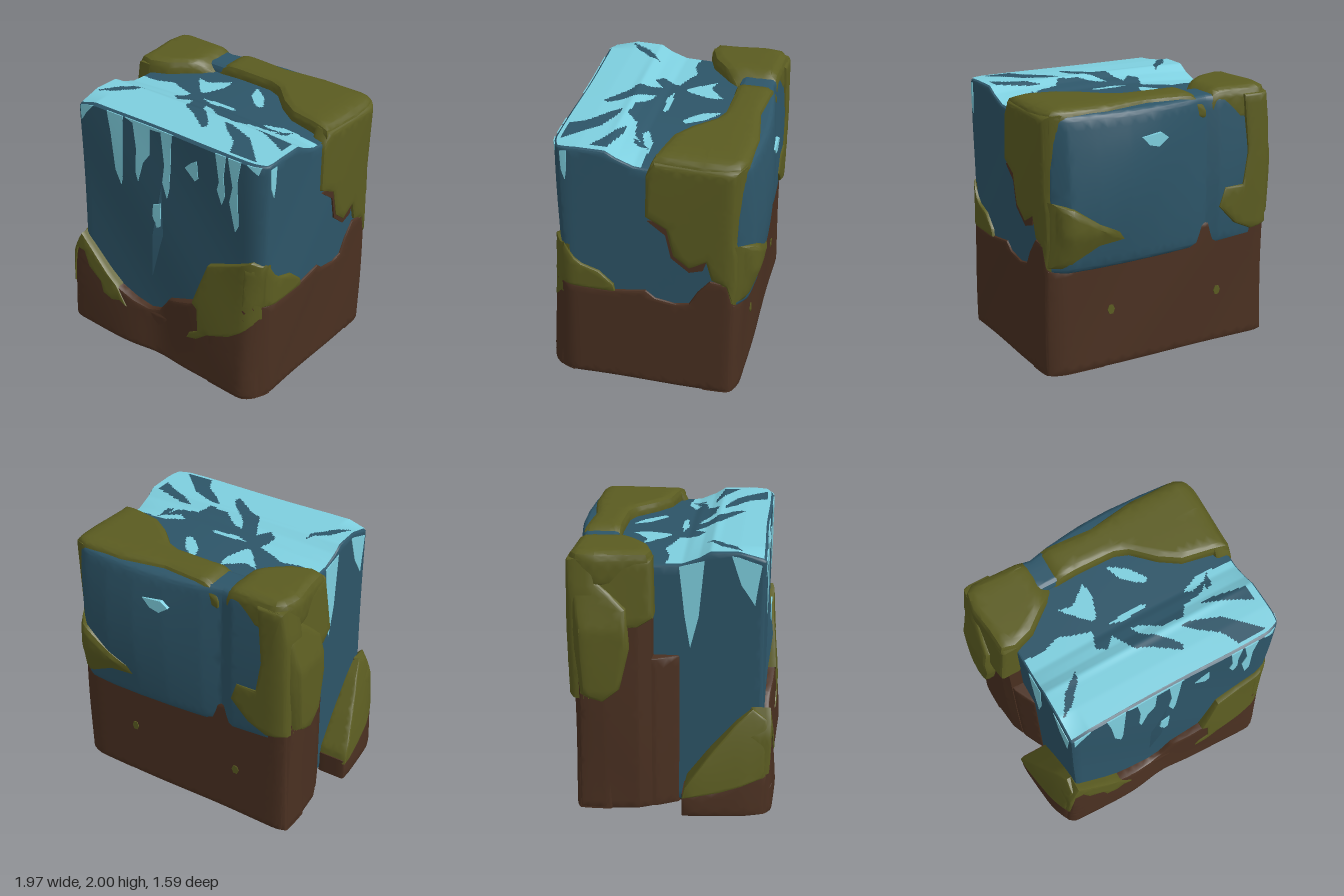
import * as THREE from 'three';
import { toCreasedNormals } from 'three/addons/utils/BufferGeometryUtils.js';

const flat = (name, color) => Object.assign(new THREE.MeshStandardMaterial({ color }), { name });
const unit = t => Math.min(1, Math.max(0, t));

// Rounds the block's corners and adds gentle lumps
function soften(v) {
  const { x, y, z } = v;
  const ex = unit((Math.abs(x) - 0.8) / 0.17), ez = unit((Math.abs(z) - 0.55) / 0.22);
  v.z -= Math.sign(z) * 0.095 * ex * ex * ez + 0.008 * ez * Math.sin(5 * x + 4 * y);
  v.x -= Math.sign(x) * 0.045 * ez * ez * ex + 0.006 * ex * Math.sin(5 * z + 4 * y);
  const high = unit((y - 1.7) / 0.3);
  v.y -= high * 0.035 * Math.max(ex * ex, ez * ez) * unit((0.2 - z) / 0.3);
  v.y -= high * 0.05 * unit((-x - 0.6) / 0.15) * unit((z - 0.5) / 0.19);
}

// Splits triangles until every edge is short enough to bend smoothly
function subdivide(geo, limit) {
  const p = geo.attributes.position, out = [], todo = [];
  for (let i = 0; i < p.count; i += 3)
    todo.push([0, 1, 2].map(k => new THREE.Vector3().fromBufferAttribute(p, i + k)));
  while (todo.length) {
    const t = todo.pop();
    const len = t.map((a, k) => a.distanceTo(t[(k + 1) % 3]));
    const k = len.indexOf(Math.max(...len));
    if (len[k] <= limit) { t.forEach(v => out.push(v.x, v.y, v.z)); continue; }
    const a = t[k], b = t[(k + 1) % 3], c = t[(k + 2) % 3], m = a.clone().add(b).multiplyScalar(0.5);
    todo.push([a, m, c], [m, b, c]);
  }
  return new THREE.BufferGeometry().setAttribute('position', new THREE.Float32BufferAttribute(out, 3));
}

export function createModel() {
  const group = new THREE.Group();
  const dirt = flat('earth brown', 0x4a3021);
  const moss = flat('moss green', 0x5b5c21);
  const water = flat('deep water blue', 0x2d5568);
  const foam = flat('foam cyan', 0x7ecfdf);

  function add(name, mat, geo, warp) {
    const p = geo.attributes.position, v = new THREE.Vector3();
    for (let i = 0; i < p.count; i++) {
      v.fromBufferAttribute(p, i);
      if (warp) warp(v);
      soften(v);
      p.setXYZ(i, v.x, v.y, v.z);
    }
    const mesh = new THREE.Mesh(toCreasedNormals(geo, 0.7), mat);
    mesh.name = name;
    group.add(mesh);
  }

  // Extrudes an outline along an axis; outline is (x,y) for z, (z,y) for x, (x,z) for y
  function slab(name, mat, axis, from, to, pts, bevel = 0, warp) {
    const shape = new THREE.Shape(pts.map(([a, b]) =>
      new THREE.Vector2(axis === 'x' ? -a : a, axis === 'y' ? -b : b)));
    const geo = new THREE.ExtrudeGeometry(shape, {
      depth: to - from - 2 * bevel, bevelEnabled: bevel > 0, bevelSize: bevel,
      bevelThickness: bevel, bevelOffset: -bevel, bevelSegments: 2,
    });
    geo.translate(0, 0, from + bevel);
    if (axis === 'x') geo.rotateY(Math.PI / 2);
    if (axis === 'y') geo.rotateX(-Math.PI / 2);
    add(name, mat, subdivide(geo, 0.085), warp);
  }

  // Water block: a profile with a lip at the front and a lower pool behind
  const top = [[0.672, 1.978], [0.5, 1.985], [0.3, 1.98], [0.22, 1.93], [0.1, 1.885], [-0.6, 1.86]];
  slab('waterBlock', water, 'x', -0.755, 0.95,
    [[-0.6, 0.02], [0.69, 0.02], [0.69, 1.965], ...top], 0.02);
  slab('backWater', water, 'y', 0.8, 1.96, [[-0.86, -0.4], [-0.86, -0.66], [-0.75, -0.7], [-0.45, -0.71],
    [-0.35, -0.68], [-0.2, -0.72], [0.1, -0.765], [0.35, -0.785], [0.6, -0.78], [0.83, -0.75],
    [0.945, -0.7], [0.945, -0.4]], 0.04,
    v => { if (v.z < -0.6) v.z = -0.6 + (v.z + 0.6) * (1 - 0.8 * (v.y - 1.4) ** 2); });
  add('waterFold', water, new THREE.OctahedronGeometry(1).scale(0.075, 0.49, 0.045)
    .rotateZ(-0.14).translate(-0.03, 1.1, 0.685));

  // Pool surface: a fine grid whose cells are foam or open water
  const inside = (x, z, poly) => {
    let hit = false;
    poly.forEach(([ax, az], i) => {
      const [bx, bz] = poly[(i + 1) % poly.length];
      if ((az > z) !== (bz > z) && x < (bx - ax) * (z - az) / (bz - az) + ax) hit = !hit;
    });
    return hit;
  };
  const foamAreas = [
    [[-0.75, -0.02], [-0.6, 0], [-0.45, -0.05], [-0.35, 0], [-0.22, 0.04], [-0.27, 0.18], [-0.2, 0.22],
      [-0.12, 0.14], [-0.04, 0.32], [0.06, 0.36], [0.25, 0.5], [0.27, 0.46], [0.2, 0.36], [0.06, 0.24],
      [0.02, 0.16], [0.1, 0.18], [0.22, 0.27], [0.38, 0.28], [0.44, 0.2], [0.6, 0.17], [0.7, 0.08],
      [0.55, 0.13], [0.49, 0.1], [0.64, 0.03], [0.94, 0.05], [0.94, 0.68], [-0.75, 0.68]],
    [[-0.36, -0.23], [-0.25, -0.2], [-0.1, -0.32], [-0.09, -0.2], [-0.14, -0.05], [-0.18, -0.02], [-0.25, -0.1]],
    [[0.1, -0.36], [0.25, -0.25], [0.33, -0.12], [0.28, -0.1], [0.15, -0.22]],
    [[-0.1, 0.05], [0.05, 0.03], [0.21, 0.04], [0.2, 0.07], [0, 0.08]],
  ];
  const openStreaks = [
    [[-0.72, 0.53], [-0.62, 0.37], [-0.48, 0.26], [-0.5, 0.33], [-0.62, 0.47]],
    [[0.33, 0.33], [0.42, 0.34], [0.62, 0.42], [0.7, 0.5], [0.83, 0.64], [0.62, 0.65], [0.55, 0.52], [0.42, 0.42]],
    [[0.52, 0.24], [0.66, 0.25], [0.88, 0.3], [0.88, 0.42], [0.76, 0.35]],
    [[0.66, 0.11], [0.72, 0.04], [0.7, 0.15], [0.64, 0.17]],
  ];
  const topY = (x, z) => {
    const i = Math.max(1, top.findIndex(p => p[0] <= z));
    const [[az, ay], [bz, by]] = [top[i - 1], top[i]];
    const swell = 0.035 * (1 - ((x - 0.1) / 0.84) ** 2) * unit((0.35 - z) / 0.2);
    return ay + (by - ay) * (z - az) / (bz - az) + 0.006 + swell;
  };
  const cells = [[], []], s = 0.0125;
  for (let i = 0; i < 134; i++) for (let j = 0; j < 90; j++) {
    const x = -0.74 + i * s, z = -0.455 + j * s, X = x + s, Z = z + s, cx = x + s / 2, cz = z + s / 2;
    const wet = foamAreas.some(p => inside(cx, cz, p)) && !openStreaks.some(p => inside(cx, cz, p));
    const a = [x, topY(x, z), z], b = [x, topY(x, Z), Z], c = [X, topY(X, Z), Z], d = [X, topY(X, z), z];
    cells[wet ? 1 : 0].push(...a, ...b, ...d, ...d, ...b, ...c);
  }
  cells.forEach((c, k) => add(k ? 'poolFoam' : 'poolWater', k ? foam : water,
    new THREE.BufferGeometry().setAttribute('position', new THREE.Float32BufferAttribute(c, 3))));

  // Foam drips on the front, sides and back
  [
    [[-0.73, 1.97], [-0.73, 1.83], [-0.68, 1.9], [-0.6, 1.97]],
    [[-0.47, 1.97], [-0.44, 1.8], [-0.41, 1.5], [-0.36, 1.39], [-0.345, 1.45], [-0.33, 1.8], [-0.32, 1.97]],
    [[-0.23, 1.97], [-0.2, 1.75], [-0.21, 1.55], [-0.19, 1.48], [-0.14, 1.65], [-0.08, 1.73], [-0.07, 1.97]],
    [[0.03, 1.97], [0.06, 1.7], [0.04, 1.55], [0.08, 1.43], [0.1, 1.5], [0.12, 1.75], [0.13, 1.97]],
    [[0.25, 1.75], [0.3, 1.8], [0.36, 1.84], [0.37, 1.7], [0.34, 1.67]],
    [[0.53, 1.97], [0.56, 1.75], [0.54, 1.68], [0.58, 1.57], [0.61, 1.65], [0.6, 1.8], [0.62, 1.97]],
    [[0.64, 1.97], [0.68, 1.75], [0.65, 1.62], [0.7, 1.39], [0.73, 1.45], [0.72, 1.8], [0.75, 1.97]],
    [[0.8, 1.97], [0.89, 1.91], [0.91, 1.97]],
    [[-0.3, 1.97], [-0.2, 1.94], [0, 1.95], [0.15, 1.97]],
  ].forEach(p => slab('frontDrip', foam, 'z', 0.687, 0.695, p));
  slab('foldFoam', foam, 'z', 0.708, 0.717,
    [[-0.04, 1.25], [-0.03, 1.35], [0.04, 1.38], [0.03, 1.18], [0, 1.16]]);
  slab('rightDrip', foam, 'x', 0.946, 0.955, [[0.66, 1.95], [0.65, 1.8], [0.61, 1.72], [0.59, 1.8], [0.58, 1.96]]);
  slab('leftDrip', foam, 'x', -0.759, -0.751, [[0.26, 1.92], [0.22, 1.5], [0.16, 1.26], [0.12, 1.5], [0.08, 1.87]]);
  slab('leftDrip', foam, 'x', -0.759, -0.751, [[0.66, 1.93], [0.62, 1.6], [0.52, 1.75], [0.45, 1.96]]);
  slab('backFoam', foam, 'z', -0.77, -0.74, [[0.04, 1.72], [0.1, 1.77], [0.26, 1.75], [0.2, 1.68], [0.12, 1.66]]);

  // Earth: base, right bank, back bank and the post at the back left
  slab('earthBase', dirt, 'y', 0.003, 0.38, [[-0.745, 0.74], [-0.745, -0.63], [-0.7, -0.67], [0.92, -0.67],
    [0.965, -0.62], [0.965, 0.7], [0.92, 0.74]], 0.02);
  slab('rightBank', dirt, 'x', 0.5, 0.968, [[0.78, 0.003], [0.745, 0.83], [0.25, 0.83], [0.02, 0.86], [-0.05, 0.8],
    [-0.2, 0.77], [-0.3, 0.79], [-0.36, 0.9], [-0.45, 1.01], [-0.6, 1], [-0.67, 0.82], [-0.67, 0.003]], 0.02);
  slab('backBank', dirt, 'z', -0.675, -0.4, [[0.965, 0.003], [0.965, 0.82], [0.4, 0.88], [0.1, 0.92], [-0.2, 0.95],
    [-0.4, 1], [-0.6, 0.95], [-0.9, 0.95], [-0.92, 0.003]], 0.015);
  slab('leftPost', dirt, 'y', 0.003, 1.55, [[-0.7, -0.1], [-0.85, -0.11], [-0.89, -0.2], [-0.92, -0.45], [-0.92, -0.65],
    [-0.89, -0.675], [-0.7, -0.675]], 0.015);
  slab('gapEarth', dirt, 'y', 0.003, 1.2, [[-0.7, -0.15], [-0.7, 0.11], [-0.76, 0.08], [-0.84, -0.08], [-0.85, -0.15]], 0.01);
  slab('bankEdge', dirt, 'x', 0.93, 0.962, [[0, 1.47], [-0.13, 1.37], [-0.17, 1.18], [-0.3, 1.07], [-0.4, 1.1],
    [-0.45, 1.25], [-0.2, 1.5]]);

  // Front bank with a scooped rim, leaning slightly back
  const leanFront = v => { v.z -= 0.3 * v.y * Math.max(0, v.z - 0.6) + 0.03 * Math.exp(-((v.x / 0.2) ** 2)); };
  const rimLeft = [[-0.76, 0.81], [-0.65, 0.7], [-0.5, 0.55], [-0.4, 0.47]];
  const rimRight = [[0.35, 0.65], [0.42, 0.85], [0.48, 1.02], [0.7, 1.11], [0.87, 1.19], [0.95, 1.16]];
  slab('frontBank', dirt, 'z', 0.6, 0.785, [[-0.91, 0.003], [-0.89, 0.2], [-0.83, 0.6], ...rimLeft, [-0.25, 0.41],
    [-0.1, 0.38], [0, 0.41], [0.1, 0.55], ...rimRight, [0.965, 0.7], [0.965, 0.003]], 0.02, leanFront);
  slab('frontMossLeft', moss, 'z', 0.61, 0.795, [...rimLeft.map(([x, y]) => [x, y + 0.008]), [-0.3, 0.33], [-0.37, 0.36],
    [-0.44, 0.34], [-0.53, 0.37], [-0.56, 0.46], [-0.68, 0.55], [-0.73, 0.67], [-0.8, 0.68], [-0.85, 0.5],
    [-0.88, 0.33], [-0.9, 0.33], [-0.86, 0.62]], 0.006, leanFront);
  slab('frontMossRight', moss, 'z', 0.6, 0.795, [...rimRight.map(([x, y]) => [x, y + 0.008]), [0.962, 0.72],
    [0.85, 0.62], [0.7, 0.51], [0.5, 0.43], [0.4, 0.35], [0.3, 0.32], [0.33, 0.38], [0.41, 0.43], [0.4, 0.62]], 0.01, leanFront);
  slab('rightMossFront', moss, 'x', 0.8, 0.975, [[0.75, 0.82], [0.25, 0.82], [0.26, 0.88], [0.37, 0.98], [0.5, 1.02],
    [0.6, 1.1], [0.68, 1.18], [0.73, 1.13]], 0.015);

  // Wedge at the front left, leaning against the water
  const leanLeft = v => { v.x += (-0.74 - v.x) / 0.24 * (0.22 * v.y * v.y + 0.05 * unit((v.z - 0.2) / 0.55)); };
  slab('wedgeEarth', dirt, 'x', -0.975, -0.74,
    [[0.12, 0.003], [0.12, 0.18], [0.4, 0.22], [0.72, 0.33], [0.75, 0.3], [0.76, 0.003]], 0.02, leanLeft);
  slab('wedgeMoss', moss, 'x', -0.985, -0.74,
    [[0.12, 0.15], [0.14, 0.24], [0.3, 0.46], [0.5, 0.7], [0.62, 0.81], [0.72, 0.74], [0.745, 0.3], [0.4, 0.2]], 0.015, leanLeft);

  // Moss caps along the back of the top, dipping where they meet
  const dip = v => { v.y -= 0.09 * Math.exp(-(((v.x + 0.33) / 0.07) ** 2)) * unit((v.y - 1.8) / 0.15); };
  slab('mossCapLeft', moss, 'y', 1.72, 2, [[-0.86, -0.13], [-0.75, -0.1], [-0.6, -0.15], [-0.45, -0.27], [-0.31, -0.38],
    [-0.31, -0.6], [-0.4, -0.68], [-0.8, -0.7], [-0.88, -0.65], [-0.9, -0.5], [-0.87, -0.3]], 0.06, dip);
  slab('mossCapRight', moss, 'y', 1.78, 1.995, [[-0.33, -0.39], [-0.1, -0.4], [0.2, -0.39], [0.3, -0.35], [0.45, -0.2],
    [0.6, -0.1], [0.96, -0.03], [0.97, -0.4], [0.95, -0.7], [0.5, -0.71], [0.15, -0.65], [-0.1, -0.67], [-0.33, -0.69]], 0.05, dip);

  // Moss hanging down the sides and back
  const leanTop = k => v => { v.x += k * (-0.7 - v.x) / 0.25 * Math.max(0, v.y - 1.45); };
  slab('rightMossBack', moss, 'x', 0.84, 0.975, [[-0.05, 1.97], [0.01, 1.85], [0.02, 1.5], [-0.13, 1.42], [-0.18, 1.2],
    [-0.3, 1.1], [-0.42, 1.17], [-0.46, 1.02], [-0.58, 0.98], [-0.67, 0.82], [-0.72, 1], [-0.72, 1.25],
    [-0.68, 1.35], [-0.7, 1.6], [-0.7, 1.97]], 0.03);
  slab('leftMossUpper', moss, 'x', -0.93, -0.74, [[-0.1, 1.95], [-0.09, 1.53], [-0.2, 1.46], [-0.69, 1.4], [-0.7, 1.95]],
    0.03, leanTop(0.15));
  slab('leftMossLower', moss, 'x', -0.98, -0.8, [[-0.28, 1.6], [-0.26, 1.3], [-0.33, 1], [-0.45, 0.9], [-0.64, 0.95],
    [-0.68, 1.3], [-0.68, 1.7], [-0.5, 1.8]], 0.03, leanTop(0.22));
  slab('backMossColumn', moss, 'z', -0.715, -0.5, [[-0.66, 1.95], [-0.7, 1.5], [-0.66, 1.25], [-0.5, 1.25], [-0.45, 1.1],
    [-0.6, 0.95], [-0.75, 0.88], [-0.92, 0.9], [-0.92, 1.7], [-0.88, 1.95]], 0.02);
  slab('backMossPatch', moss, 'z', -0.79, -0.5, [[0.965, 1.33], [0.8, 1.3], [0.6, 1.17], [0.36, 1.05], [0.31, 0.93],
    [0.45, 0.85], [0.7, 0.81], [0.965, 0.84]], 0.05,
    v => { v.z = -0.5 + (v.z + 0.5) * (1 - 1.1 * Math.max(0, 1.1 - v.y)); });
  [[0.46, 0.45], [-0.47, 0.42]].forEach(([x, y]) => slab('mossSpot', moss, 'z', -0.681, -0.673,
    [0, 1, 2, 3, 4, 5].map(i => [x + 0.03 * Math.cos(i * 1.047), y + 0.04 * Math.sin(i * 1.047)])));
  slab('undersideMoss', moss, 'y', 0, 0.008, [[0.7, -0.63], [-0.72, -0.64], [-0.88, -0.55], [-0.85, -0.3], [-0.6, -0.42],
    [-0.2, -0.38], [0.2, -0.45], [0.55, -0.43]]);
  return group;
}
